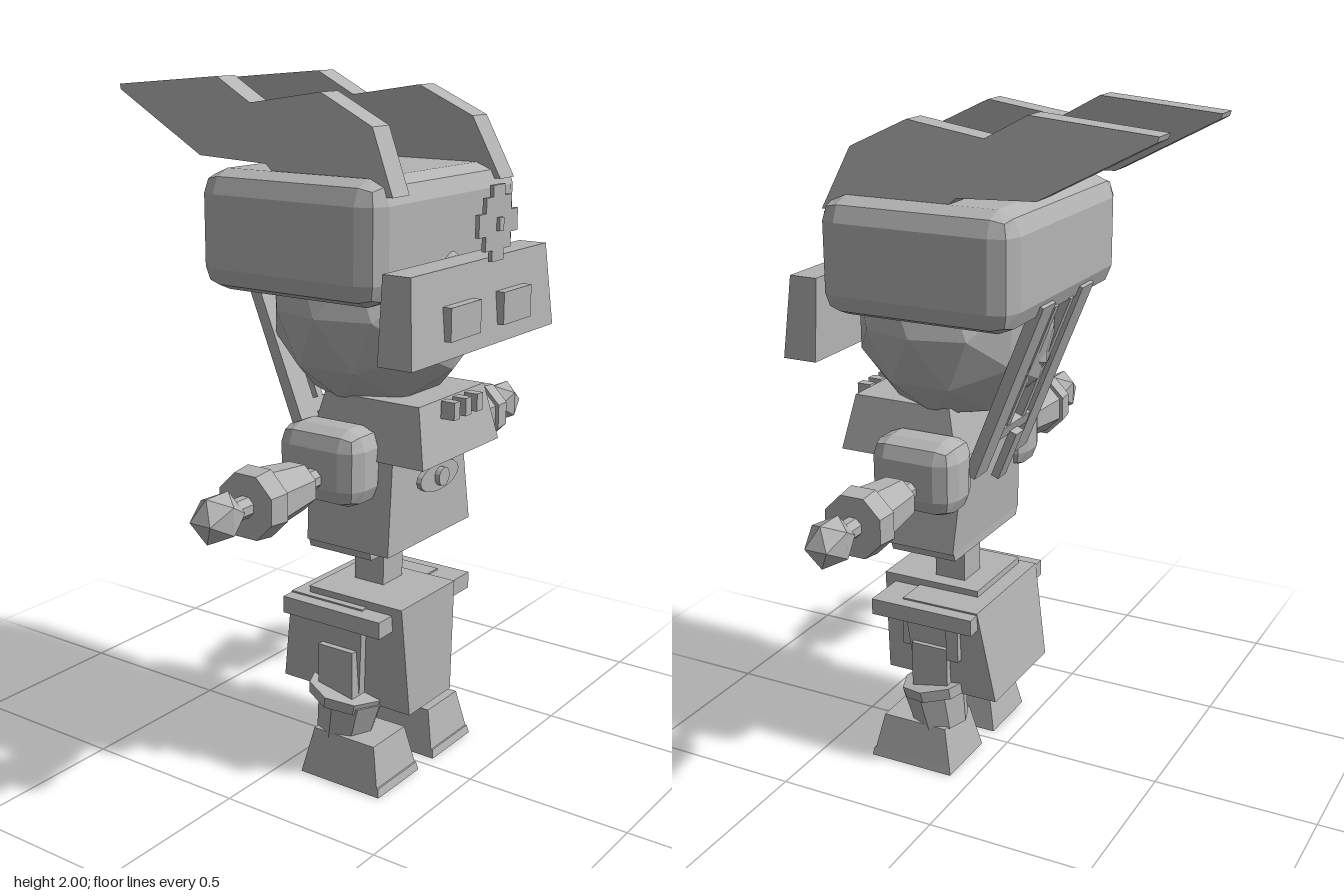
import * as THREE from 'three';
import { RoundedBoxGeometry } from 'three/addons/geometries/RoundedBoxGeometry.js';

export function createModel() {
  const root = new THREE.Group();
  const clay = new THREE.MeshStandardMaterial({ color: 0xb4b4b4, flatShading: true });
  clay.name = 'clay grey';

  const add = (name, geo, x = 0, y = 0, z = 0, parent = root) => {
    const m = new THREE.Mesh(geo, clay);
    m.name = name;
    m.position.set(x, y, z);
    parent.add(m);
    return m;
  };

  // Box given by its extents
  const box = (name, x0, x1, y0, y1, z0, z1, parent) =>
    add(name, new THREE.BoxGeometry(x1 - x0, y1 - y0, z1 - z0),
      (x0 + x1) / 2, (y0 + y1) / 2, (z0 + z1) / 2, parent);

  // Box whose bottom and top rectangles [x0, x1, z0, z1] differ
  const taper = (name, y0, b, y1, t, parent) => {
    const g = new THREE.BoxGeometry(1, 1, 1);
    const p = g.attributes.position;
    for (let i = 0; i < p.count; i++) {
      const r = p.getY(i) > 0 ? t : b;
      p.setXYZ(i, p.getX(i) < 0 ? r[0] : r[1], p.getY(i) > 0 ? y1 : y0, p.getZ(i) < 0 ? r[2] : r[3]);
    }
    return add(name, g, 0, 0, 0, parent);
  };

  // Head and chunky hair block
  add('head', new THREE.IcosahedronGeometry(0.3, 1), 0, 1.38, 0.155);
  add('hairBlock', new RoundedBoxGeometry(0.74, 0.33, 0.59, 1, 0.065), 0, 1.598, 0.105);

  // Mask with raised eyes
  taper('mask', 1.30, [-0.37, 0.37, 0.41, 0.515], 1.535, [-0.35, 0.35, 0.41, 0.495]);
  for (const s of [-1, 1]) {
    const a = s * 0.06, b = s * 0.21;
    box('eye', Math.min(a, b), Math.max(a, b), 1.35, 1.44, 0.50, 0.53);
  }

  // Stepped forehead emblem floating before the hair
  const quarter = [[0.03, 0.1], [0.03, 0.07], [0.065, 0.07], [0.065, 0.03], [0.1, 0.03]];
  const steps = [
    ...quarter,
    ...quarter.map(([x, y]) => [x, -y]).reverse(),
    ...quarter.map(([x, y]) => [-x, -y]),
    ...quarter.map(([x, y]) => [-x, y]).reverse()
  ];
  const star = new THREE.Shape(steps.map(([x, y]) => new THREE.Vector2(x, y)));
  add('foreheadEmblem', new THREE.ExtrudeGeometry(star, { depth: 0.012, bevelEnabled: false }), 0, 1.635, 0.528);
  box('emblemCentre', -0.011, 0.011, 1.615, 1.65, 0.535, 0.55);

  // Swept-back ears: side profile in (z, y), leaning inward with height
  const earProfile = [[0.41, 1.72], [0.33, 1.89], [0.16, 1.97], [-0.07, 1.935], [-0.19, 2.0],
    [-0.545, 1.97], [-0.54, 1.955], [-0.23, 1.79], [0.0, 1.78], [0.03, 1.755], [0.3, 1.72]];
  const earShape = new THREE.Shape(earProfile.map(([z, y]) => new THREE.Vector2(-z, y)));
  for (const s of [-1, 1]) {
    const g = new THREE.ExtrudeGeometry(earShape, { depth: 0.076, bevelEnabled: false });
    g.translate(0, 0, -0.038);
    g.rotateY(Math.PI / 2);
    const p = g.attributes.position;
    for (let i = 0; i < p.count; i++) {
      p.setX(i, p.getX(i) + s * (0.268 - (p.getY(i) - 1.72) * 0.14));
    }
    add(s > 0 ? 'leftEar' : 'rightEar', g);
  }

  // Sloping back rails with crossbars and a gem
  const rails = new THREE.Group();
  rails.name = 'backRails';
  rails.position.set(0, 1.22, -0.07);
  rails.rotation.x = -0.385;
  root.add(rails);
  for (const s of [-1, 1]) {
    add('rail', new THREE.BoxGeometry(0.08, 0.57, 0.035), s * 0.13, 0, 0, rails);
    add('innerRail', new THREE.BoxGeometry(0.025, 0.4, 0.025), s * 0.05, 0.06, 0, rails);
  }
  add('crossbar', new THREE.BoxGeometry(0.18, 0.04, 0.03), 0, -0.16, 0, rails);
  const gem = add('gem', new THREE.OctahedronGeometry(0.07), 0, 0.07, 0, rails);
  gem.scale.set(0.75, 1.1, 0.45);
  const tail = add('tailSpike', new THREE.BoxGeometry(0.05, 0.16, 0.025), 0, 0.98, 0.0);
  tail.rotation.x = -0.385;

  // Torso with jutting collar
  taper('chest', 0.72, [-0.215, 0.215, 0.07, 0.345], 1.0, [-0.18, 0.18, 0.05, 0.335]);
  taper('collar', 0.985, [-0.2, 0.2, 0.06, 0.445], 1.15, [-0.17, 0.17, 0.1, 0.41]);
  taper('torsoBase', 0.695, [-0.2, 0.2, 0.07, 0.28], 0.725, [-0.21, 0.21, 0.07, 0.28]);
  for (const x of [-0.06, 0, 0.06]) box('collarStud', x - 0.015, x + 0.015, 1.1, 1.15, 0.42, 0.463);

  // Belly emblem
  const disc = (name, r, sy, z0, z1) => {
    const g = new THREE.CylinderGeometry(r, r, z1 - z0, 16);
    g.rotateX(Math.PI / 2);
    add(name, g, 0, 0.91, (z0 + z1) / 2).scale.y = sy;
  };
  disc('bellyEmblem', 0.1, 0.42, 0.36, 0.375);
  disc('bellyStud', 0.027, 1, 0.36, 0.39);

  // Arms stretched sideways, built toward +x and turned for the other side
  const armRod = (name, x0, r0, x1, r1, parent) => {
    const g = new THREE.CylinderGeometry(r1, r0, x1 - x0, 8);
    g.rotateY(Math.PI / 8);
    g.rotateZ(-Math.PI / 2);
    add(name, g, (x0 + x1) / 2, 0, 0, parent);
  };
  for (const s of [-1, 1]) {
    const arm = new THREE.Group();
    arm.name = s > 0 ? 'leftArm' : 'rightArm';
    arm.position.set(0, 0.94, 0.16);
    if (s < 0) arm.rotation.y = Math.PI;
    root.add(arm);
    add('shoulder', new RoundedBoxGeometry(0.17, 0.22, 0.27, 1, 0.055), 0.225, 0.03, 0, arm);
    armRod('upperArm', 0.28, 0.03, 0.4, 0.03, arm);
    armRod('forearm', 0.38, 0.068, 0.56, 0.09, arm);
    armRod('cuff', 0.54, 0.1, 0.6, 0.093, arm);
    armRod('wrist', 0.58, 0.03, 0.68, 0.03, arm);
    add('hand', new THREE.IcosahedronGeometry(0.075, 0), 0.71, 0, 0, arm).scale.set(1.08, 0.95, 0.85);
  }

  // Waist post, hips and belt plates
  box('waistPost', -0.05, 0.05, 0.5, 0.73, 0.12, 0.22);
  taper('hips', 0.25, [-0.17, 0.18, -0.05, 0.22], 0.54, [-0.2, 0.2, 0.0, 0.25]);
  taper('frontSkirt', 0.225, [-0.14, 0.08, 0.05, 0.375], 0.56, [-0.18, 0.1, 0.05, 0.37]);
  box('beltPlate', -0.24, 0.24, 0.485, 0.535, 0.0, 0.25);
  box('leftBeltFlap', 0.1, 0.24, 0.485, 0.535, 0.2, 0.335);
  box('rightBeltFlap', -0.24, -0.16, 0.485, 0.535, 0.2, 0.335);
  box('beltStrap', 0.145, 0.17, 0.37, 0.49, 0.24, 0.27);
  box('sideStrap', 0.19, 0.21, 0.37, 0.49, 0.06, 0.1);

  // Legs with tilted cuffs and blocky boots
  for (const s of [-1, 1]) {
    const leg = new THREE.Group();
    leg.name = s > 0 ? 'leftLeg' : 'rightLeg';
    leg.position.set(s * 0.145, 0, 0);
    root.add(leg);
    taper('sole', 0, [-0.105, 0.105, 0.07, 0.345], 0.025, [-0.1, 0.1, 0.075, 0.34], leg);
    taper('boot', 0.025, [-0.1, 0.1, 0.075, 0.335], 0.14, [-0.08, 0.08, 0.1, 0.31], leg);
    const shin = add('shin', new THREE.CylinderGeometry(0.1, 0.083, 0.13, 8), 0, 0.185, 0.165, leg);
    shin.rotation.x = 0.2;
    const cuff = add('legCuff', new THREE.CylinderGeometry(0.115, 0.11, 0.035, 8), 0, 0.25, 0.16, leg);
    cuff.rotation.x = 0.2;
    box('thigh', -0.06, 0.06, 0.24, 0.4, 0.1, 0.22, leg);
  }

  return root;
}
